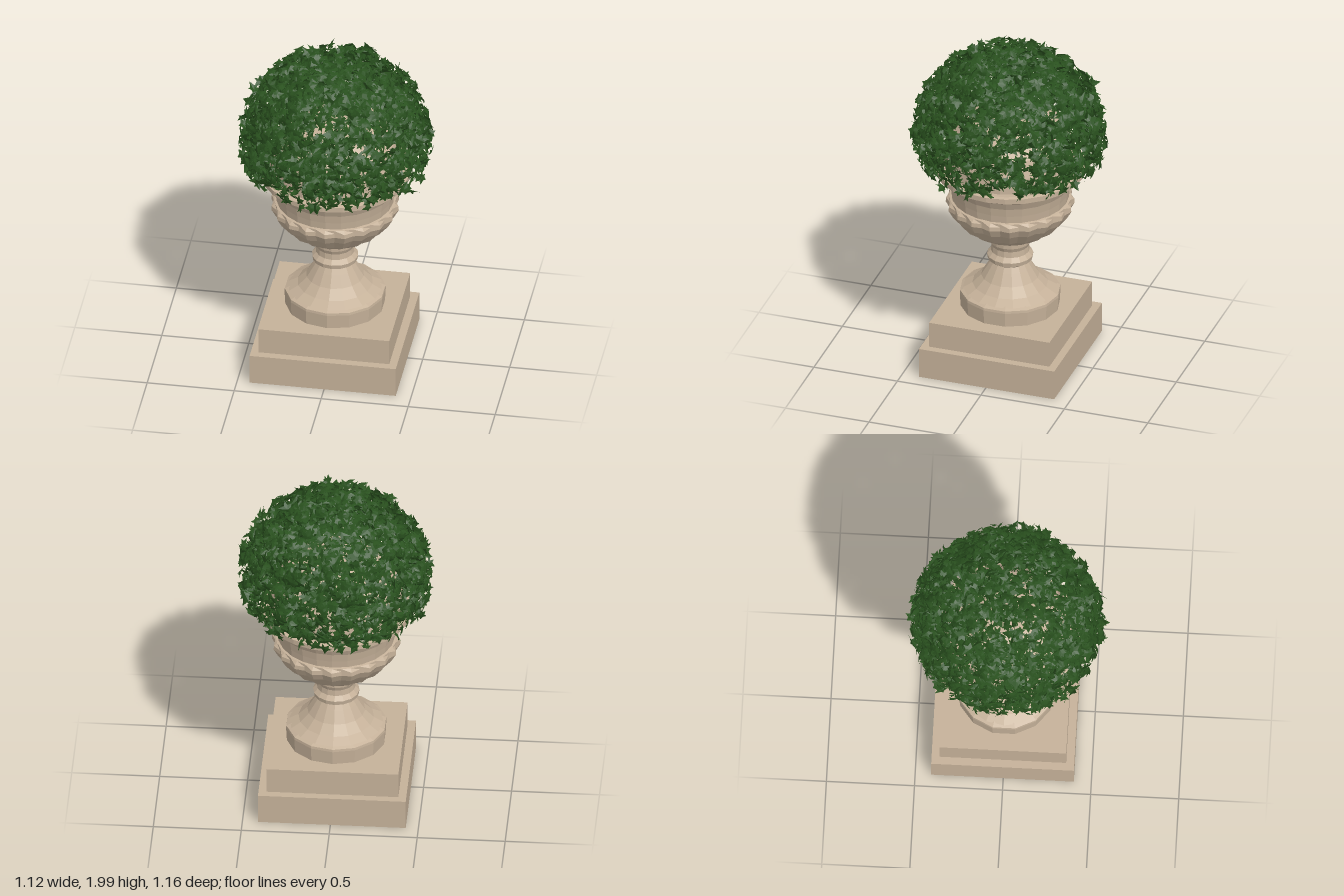
import * as THREE from 'three';

const stone = new THREE.MeshStandardMaterial({ color: 0xc5b199, flatShading: true, side: THREE.DoubleSide });
stone.name = 'stone';
const leaf = new THREE.MeshStandardMaterial({ color: 0x2a521f, flatShading: true, side: THREE.DoubleSide });
leaf.name = 'leaf green';

// Seeded random numbers
function makeRandom(seed) {
  return () => {
    seed = (seed * 1664525 + 1013904223) >>> 0;
    return seed / 4294967296;
  };
}

function slab(name, width, height, depth, x, bottom, z) {
  const mesh = new THREE.Mesh(new THREE.BoxGeometry(width, height, depth), stone);
  mesh.position.set(x, bottom + height / 2, z);
  mesh.name = name;
  return mesh;
}

function turned(name, profile, sides) {
  const points = profile.map(([r, y]) => new THREE.Vector2(r, y));
  const mesh = new THREE.Mesh(new THREE.LatheGeometry(points, sides), stone);
  mesh.position.set(-0.004, 0, -0.004);
  mesh.name = name;
  return mesh;
}

// Push every second column of the belly inwards to carve the lobes
function carveLobes(geometry, bottom, top, depth) {
  const p = geometry.attributes.position;
  const rows = geometry.parameters.points.length;
  for (let i = 0; i < p.count; i++) {
    const y = p.getY(i);
    if (y <= bottom || y >= top || Math.floor(i / rows) % 2 === 0) continue;
    const k = 1 - depth * Math.min(1, (y - bottom) / 0.06);
    p.setX(i, p.getX(i) * k);
    p.setZ(i, p.getZ(i) * k);
  }
  geometry.computeVertexNormals();
}

// Ivy leaf outline: five pointed lobes around the stalk, in units of leaf size
const OUTLINE = [
  [0, -0.3], [0.45, -0.5], [0.38, -0.05], [0.75, 0.2], [0.3, 0.32],
  [0, 1], [-0.3, 0.32], [-0.75, 0.2], [-0.38, -0.05], [-0.45, -0.5],
];

function foliageGeometry(count) {
  const rand = makeRandom(71);
  const spread = (a) => (rand() * 2 - 1) * a;
  const positions = [];
  const basis = new THREE.Matrix4();
  const v = new THREE.Vector3();
  for (let n = 0; n < count; n++) {
    // Scatter over a deep domed shell that thins out towards its hanging skirt
    const dy = -0.36 + 1.36 * rand();
    const angle = rand() * Math.PI * 2;
    if (dy < -0.1 && rand() < 0.4) continue;
    const ring = Math.sqrt(1 - dy * dy);
    const dir = new THREE.Vector3(ring * Math.cos(angle), dy, ring * Math.sin(angle));
    const shell = dy < 0 ? 0.84 + rand() * 0.18 : 0.76 + rand() * 0.26;
    const centre = dir.clone().multiply(new THREE.Vector3(0.54, 0.515, 0.545)).multiplyScalar(shell);
    centre.y += 1.45;

    // Face outwards with a strong random tilt, tip mostly hanging down
    const normal = dir.clone().add(new THREE.Vector3(spread(0.9), spread(0.9), spread(0.9))).normalize();
    const tip = new THREE.Vector3(spread(1), -0.3 + spread(1), spread(1));
    tip.addScaledVector(normal, -tip.dot(normal)).normalize();
    const across = new THREE.Vector3().crossVectors(tip, normal);
    basis.makeBasis(across, tip, normal).setPosition(centre);

    const size = 0.038 + rand() * 0.02;
    const fold = 0.1 + rand() * 0.5;
    const corner = ([x, y]) => {
      v.set(x * size, y * size, -(Math.abs(x) * fold + y * y * 0.25) * size).applyMatrix4(basis);
      positions.push(v.x, Math.min(v.y, 2), v.z);
    };
    for (let i = 0; i < OUTLINE.length; i++) {
      corner([0, 0]);
      corner(OUTLINE[(i + 1) % OUTLINE.length]);
      corner(OUTLINE[i]);
    }
  }
  const geometry = new THREE.BufferGeometry();
  geometry.setAttribute('position', new THREE.Float32BufferAttribute(positions, 3));
  geometry.computeVertexNormals();
  return geometry;
}

export function createModel() {
  const model = new THREE.Group();
  model.name = 'planterWithIvy';

  // Stepped square plinth
  model.add(slab('lowerPlinth', 0.84, 0.18, 0.81, -0.008, 0, -0.004));
  model.add(slab('upperPlinth', 0.75, 0.155, 0.72, -0.008, 0.18, -0.005));

  // Round foot and flared stem with a collar
  model.add(turned('foot', [[0.283, 0.33], [0.288, 0.42], [0.286, 0.435], [0.255, 0.45]], 14));
  model.add(turned('stem', [
    [0.268, 0.445], [0.215, 0.475], [0.165, 0.525], [0.125, 0.59], [0.106, 0.62],
    [0.128, 0.635], [0.132, 0.66], [0.11, 0.685], [0.107, 0.72], [0.118, 0.745], [0.12, 0.79],
  ], 16));

  // Lobed bowl
  const belly = turned('lobedBowl', [
    [0.05, 0.775], [0.12, 0.782], [0.2, 0.815], [0.28, 0.87], [0.338, 0.94],
    [0.366, 0.99], [0.364, 1.015], [0.345, 1.033], [0.32, 1.04],
  ], 40);
  carveLobes(belly.geometry, 0.79, 1.025, 0.05);
  model.add(belly);

  // Neck and overhanging rim
  model.add(turned('neckAndRim', [
    [0.333, 1.03], [0.338, 1.08], [0.346, 1.13], [0.365, 1.175], [0.405, 1.205],
    [0.43, 1.213], [0.43, 1.243], [0.41, 1.248], [0.36, 1.245],
  ], 24));

  // Low mound that carries the ivy
  model.add(turned('plantMound', [
    [0.38, 1.243], [0.375, 1.34], [0.345, 1.44], [0.27, 1.53], [0.14, 1.58], [0, 1.59],
  ], 18));

  // Ivy
  const ivy = new THREE.Mesh(foliageGeometry(3700), leaf);
  ivy.name = 'ivyLeaves';
  model.add(ivy);
  return model;
}
